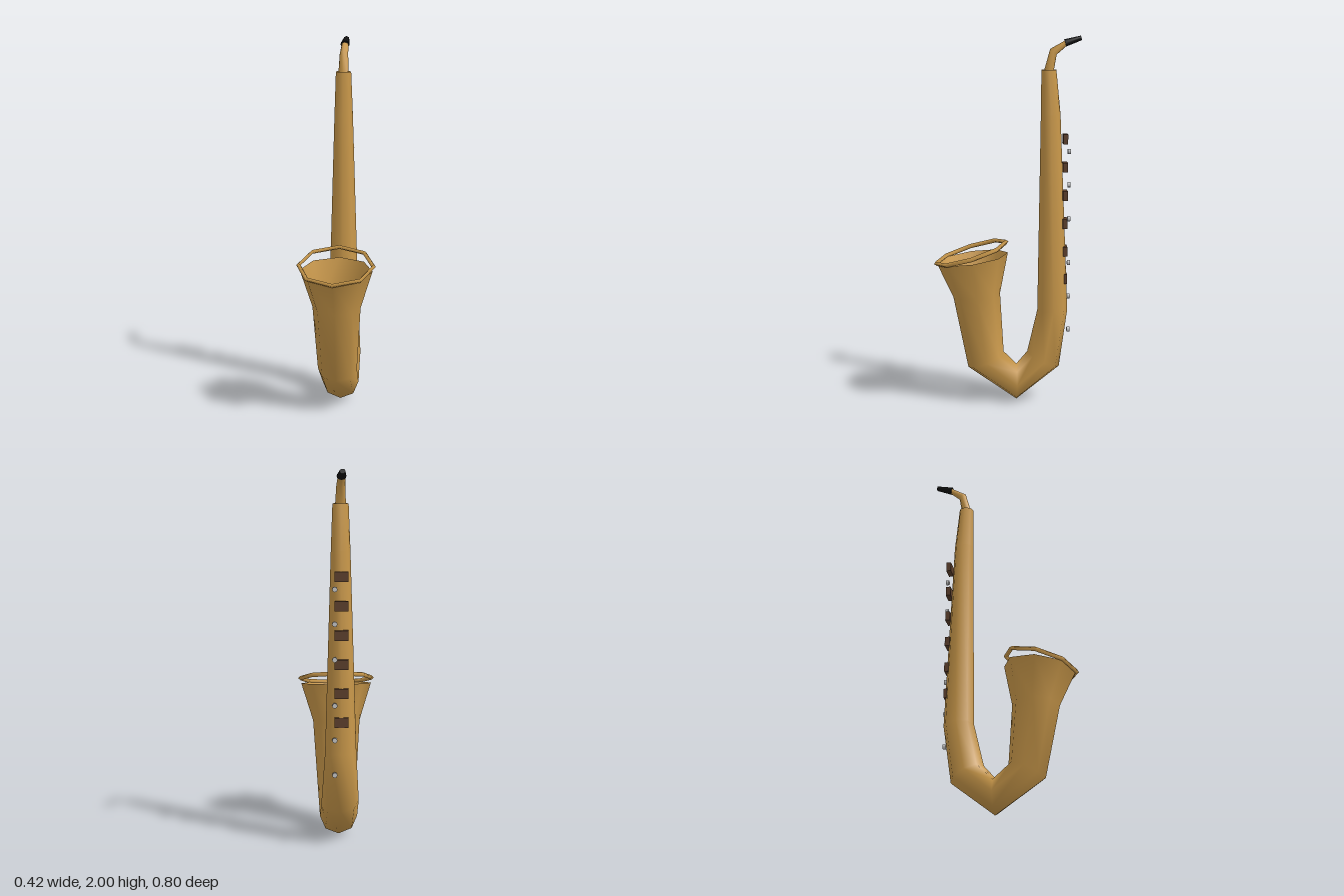
import * as THREE from 'three';

const mat = (name, color, side = THREE.FrontSide) => {
  const m = new THREE.MeshStandardMaterial({ color, side });
  m.name = name;
  return m;
};

// Smooth tube through rings of [az, ay, bz, by, halfWidth]; a and b are
// opposite points of the ring in the middle plane, listed from top to bottom.
function loft(rings, sides, capStart, capEnd) {
  const pos = [], idx = [];
  const addRing = ([az, ay, bz, by, rx]) => {
    const first = pos.length / 3;
    for (let k = 0; k < sides; k++) {
      const t = (k / sides) * Math.PI * 2, c = Math.cos(t) / 2;
      pos.push(rx * Math.sin(t), (ay + by) / 2 + (by - ay) * c, (az + bz) / 2 + (bz - az) * c);
    }
    return first;
  };
  const starts = rings.map(addRing);
  for (let i = 0; i < rings.length - 1; i++) {
    for (let k = 0; k < sides; k++) {
      const n = (k + 1) % sides, p = starts[i], q = starts[i + 1];
      idx.push(p + k, p + n, q + k, p + n, q + n, q + k);
    }
  }
  const cap = (ring, flip) => {
    const s = addRing(ring);
    for (let k = 1; k < sides - 1; k++) {
      if (flip) idx.push(s, s + k + 1, s + k);
      else idx.push(s, s + k, s + k + 1);
    }
  };
  if (capStart) cap(rings[0], true);
  if (capEnd) cap(rings[rings.length - 1], false);
  const g = new THREE.BufferGeometry();
  g.setAttribute('position', new THREE.Float32BufferAttribute(pos, 3));
  g.setIndex(idx);
  g.computeVertexNormals();
  return g;
}

export function createModel() {
  const model = new THREE.Group();
  model.name = 'saxophone';
  const brass = mat('brass', 0xc9984a);
  const openBrass = mat('brass', 0xc9984a, THREE.DoubleSide);
  openBrass.name = brass.name;
  const black = mat('black', 0x111111);
  const brown = mat('brown', 0x5c3f2c);
  const silver = mat('silver', 0xc4c4c4);

  const add = (name, geometry, material, x = 0, y = 0, z = 0) => {
    const m = new THREE.Mesh(geometry, material);
    m.name = name;
    m.position.set(x, y, z);
    model.add(m);
    return m;
  };

  // Tapered body, bent round the bow and flaring into the open bell
  add('body', loft([
    [-0.182, 1.82, -0.262, 1.82, 0.042],
    [-0.18, 1.58, -0.286, 1.58, 0.051],
    [-0.165, 0.51, -0.33, 0.51, 0.083],
    [-0.11, 0.275, -0.285, 0.19, 0.1],
    [-0.05, 0.205, -0.05, 0.004, 0.102],
    [0.02, 0.275, 0.215, 0.19, 0.107],
    [0.04, 0.605, 0.295, 0.585, 0.13],
    [-0.003, 0.83, 0.385, 0.775, 0.195],
  ], 8, true, false), openBrass);

  // Tilted ring over the bell
  const rim = add('bellRim', new THREE.TorusGeometry(0.2, 0.012, 4, 8), brass, 0, 0.83, 0.197);
  rim.rotation.x = Math.PI / 2 + 0.3;

  // Curved neck and mouthpiece
  add('neck', loft([
    [-0.315, 1.979, -0.315, 1.945, 0.019],
    [-0.228, 1.93, -0.263, 1.9, 0.023],
    [-0.196, 1.815, -0.248, 1.815, 0.028],
  ], 8, false, false), brass);
  add('mouthpiece', loft([
    [-0.391, 2, -0.397, 1.976, 0.015],
    [-0.303, 1.981, -0.312, 1.942, 0.025],
  ], 12, true, true), black);

  // Key pads down the back
  const padGeometry = new THREE.BoxGeometry(0.072, 0.052, 0.026);
  for (let i = 0; i < 6; i++) add('keyPad', padGeometry, brown, 0, 1.45 - i * 0.153, -0.312);

  // Small round buttons beside the pads
  const buttonGeometry = new THREE.CylinderGeometry(0.014, 0.014, 0.016, 8).rotateX(Math.PI / 2);
  for (const y of [1.386, 1.206, 1.02, 0.778, 0.593, 0.407]) {
    add('keyButton', buttonGeometry, silver, 0.036, y, -0.331);
  }
  return model;
}
